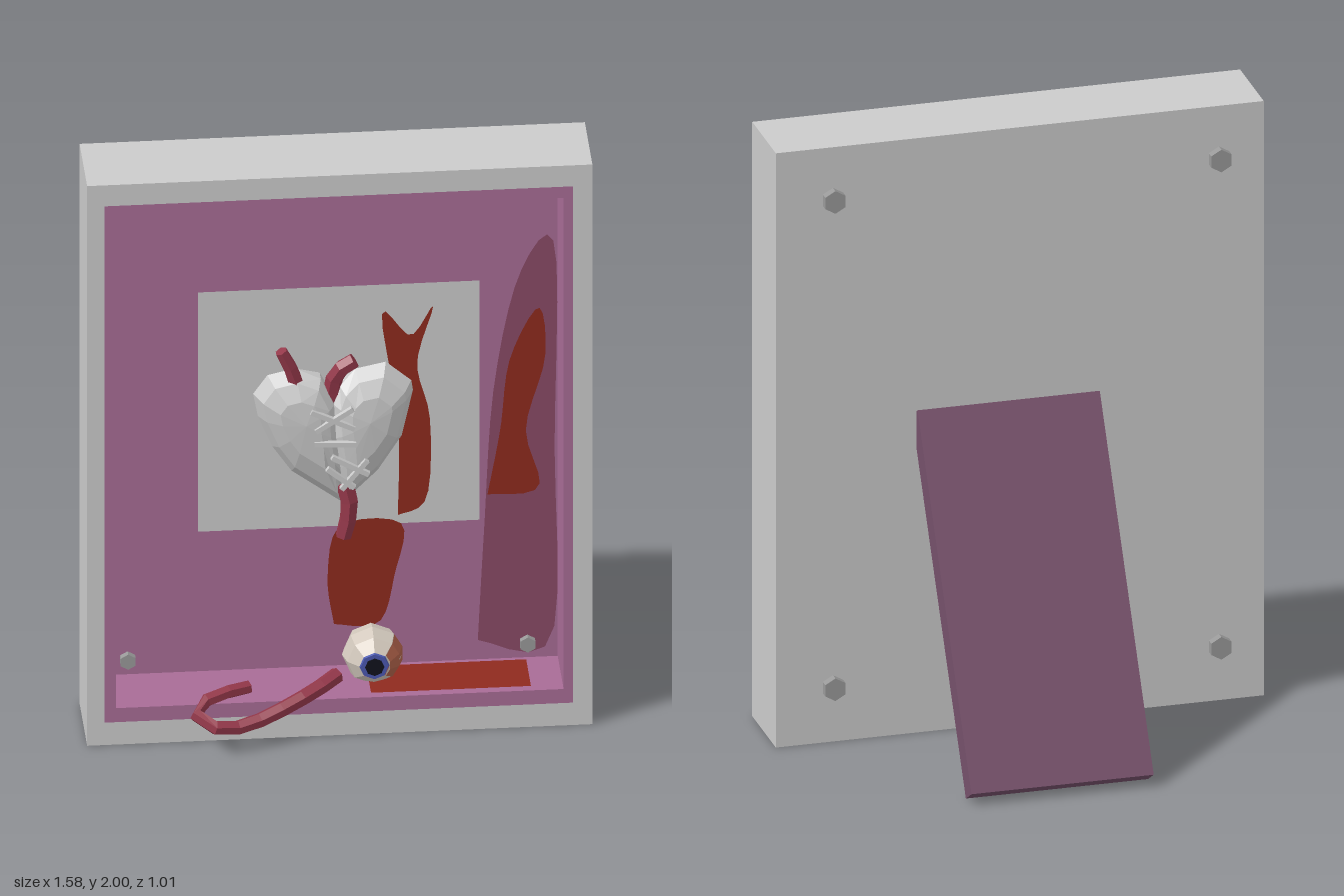
import * as THREE from 'three';

const mat = (color, side = THREE.FrontSide) => new THREE.MeshStandardMaterial({ color, flatShading: true, side });
const GREY = mat(0xcccccc), PURPLE = mat(0xa86c96), STAND = mat(0x75506a), FLESH = mat(0x94384a);
const METAL = mat(0x999999), BLOOD = mat(0x8f2a1e, THREE.DoubleSide), STAIN = mat(0x8a4a66, THREE.DoubleSide);
const v = (x, y, z) => new THREE.Vector3(x, y, z);

// Joins equal-sized loops of points (counter-clockwise seen from +z) into a faceted skin
function loft(loops) {
  const n = loops[0].length, pos = [];
  for (let k = 0; k < loops.length - 1; k++) {
    for (let i = 0; i < n; i++) {
      const j = (i + 1) % n;
      const [a, b, c, d] = [loops[k][i], loops[k][j], loops[k + 1][j], loops[k + 1][i]];
      for (const t of [[a, b, c], [a, c, d]]) {
        if (t[0].equals(t[1]) || t[1].equals(t[2]) || t[0].equals(t[2])) continue;
        t.forEach(p => pos.push(p.x, p.y, p.z));
      }
    }
  }
  const g = new THREE.BufferGeometry();
  g.setAttribute('position', new THREE.Float32BufferAttribute(pos, 3));
  g.computeVertexNormals();
  return g;
}

const rect = (x0, x1, y0, y1, z) => [v(x0, y0, z), v(x1, y0, z), v(x1, y1, z), v(x0, y1, z)];

// Faceted tube along a bent path, radius tapering from r0 to r1, closed at both ends
function vessel(points, r0, r1, steps, sides = 6) {
  const curve = new THREE.CatmullRomCurve3(points.map(p => v(...p)));
  const frames = curve.computeFrenetFrames(steps);
  const loops = [];
  for (let i = 0; i <= steps; i++) {
    const c = curve.getPointAt(i / steps), r = r0 + (r1 - r0) * i / steps;
    const ring = Array.from({ length: sides }, (_, s) => {
      const a = s / sides * Math.PI * 2;
      return c.clone().addScaledVector(frames.normals[i], Math.cos(a) * r)
        .addScaledVector(frames.binormals[i], Math.sin(a) * r);
    });
    if (i === 0) loops.push(ring.map(() => c.clone()));
    loops.push(ring);
    if (i === steps) loops.push(ring.map(() => c.clone()));
  }
  return loft(loops);
}

// One half of the heart: outline points are [x, y, half thickness at the rim]
function heartLobe(outline, cx, cy, depth) {
  const ring = (s, t, side) => outline.map(([x, y, h]) =>
    v(cx + (x - cx) * s, cy + (y - cy) * s, side * (h + (depth - h) * t)));
  return loft([ring(0, 1, -1), ring(0.5, 0.9, -1), ring(0.82, 0.55, -1), ring(1, 0, -1),
    ring(1, 0, 1), ring(0.82, 0.55, 1), ring(0.5, 0.9, 1), ring(0, 1, 1)]);
}

export function createModel() {
  const model = new THREE.Group();
  const add = (name, geo, material, parent = model) => {
    const m = new THREE.Mesh(geo, material);
    m.name = name;
    parent.add(m);
    return m;
  };
  const WALL = 0.178;

  // Box frame with its recessed, painted interior
  const back = rect(-0.79, 0.79, 0, 2, 0.12), lip = rect(-0.735, 0.73, 0.08, 1.925, 0.39);
  add('frame', loft([back.map(() => v(0, 1, 0.12)), back, rect(-0.79, 0.79, 0, 2, 0.39), lip]), GREY);
  const inner = rect(-0.7, 0.7, 0.13, 1.885, WALL);
  add('recess', loft([lip, rect(-0.7, 0.7, 0.13, 1.885, 0.39), inner, inner.map(() => v(0, 1, WALL))]), PURPLE);

  // Sheet of paper on the back wall
  add('paper', new THREE.PlaneGeometry(0.88, 0.855), GREY).position.set(0.015, 1.057, WALL + 0.002);

  // Blood runs on the wall, the paper and the floor
  const stains = new THREE.Group();
  stains.name = 'bloodStains';
  model.add(stains);
  const run = (pts, material, z) => {
    const s = new THREE.Shape();
    s.moveTo(...pts[0]);
    s.splineThru([...pts.slice(1), pts[0]].map(p => new THREE.Vector2(...p)));
    add('bloodRun', new THREE.ShapeGeometry(s, 4), material, stains).position.z = WALL + z;
  };
  run([[0.0, 0.28], [0.14, 0.28], [0.19, 0.45], [0.21, 0.63], [0.02, 0.63], [-0.02, 0.45]], BLOOD, 0.004);
  run([[0.2, 0.66], [0.29, 0.72], [0.3, 1.0], [0.26, 1.2], [0.31, 1.4], [0.24, 1.3], [0.15, 1.38], [0.2, 1.0]], BLOOD, 0.004);
  run([[0.45, 0.2], [0.68, 0.2], [0.69, 0.9], [0.69, 1.6], [0.58, 1.5], [0.5, 1.1], [0.47, 0.6]], STAIN, 0.002);
  run([[0.48, 0.72], [0.64, 0.74], [0.6, 0.95], [0.66, 1.2], [0.64, 1.38], [0.55, 1.2], [0.52, 0.95]], BLOOD, 0.004);
  const pool = add('bloodPool', new THREE.PlaneGeometry(0.5, 0.17), BLOOD, stains);
  pool.rotation.x = -Math.PI / 2;
  pool.position.set(0.35, 0.132, 0.28);

  // Bolts through the four corners: wide head behind, narrow end inside
  for (const x of [-0.645, 0.605]) {
    for (const y of [0.185, 1.825]) {
      const bolt = new THREE.Group();
      bolt.name = 'bolt';
      bolt.position.set(x, y, 0);
      model.add(bolt);
      for (const [name, r, z0, z1] of [['boltHead', 0.038, 0.092, 0.125], ['boltEnd', 0.027, 0.17, 0.2]]) {
        const g = new THREE.CylinderGeometry(r, r, z1 - z0, 6).rotateX(Math.PI / 2);
        add(name, g, METAL, bolt).position.z = (z0 + z1) / 2;
      }
    }
  }

  // Slanted rear stand, side profile as (-z, y) extruded across x
  const profile = new THREE.Shape([[-0.106, 1.09], [-0.122, 1.08], [-0.122, 0.963], [0.445, 0], [0.51, 0.04]]
    .map(p => new THREE.Vector2(...p)));
  const stand = new THREE.ExtrudeGeometry(profile, { depth: 0.59, bevelEnabled: false });
  add('stand', stand.rotateY(Math.PI / 2).translate(-0.255, 0, 0), STAND);

  // Two-lobed heart with a stitched seam
  const heart = new THREE.Group();
  heart.name = 'heart';
  heart.position.z = 0.262;
  model.add(heart);
  add('heartLeftHalf', heartLobe([[-0.01, 1.13, 0.04], [-0.05, 1.215, 0.02], [-0.13, 1.245, 0], [-0.215, 1.225, 0],
    [-0.26, 1.16, 0], [-0.245, 1.08, 0], [-0.2, 0.97, 0], [-0.14, 0.88, 0], [0.02, 0.76, 0],
    [0.01, 0.9, 0.045], [-0.005, 1.02, 0.055]], -0.1, 1.08, 0.08), GREY, heart);
  add('heartRightHalf', heartLobe([[0.02, 0.76, 0], [0.13, 0.87, 0], [0.205, 0.99, 0], [0.24, 1.15, 0], [0.235, 1.185, 0],
    [0.155, 1.255, 0], [0.06, 1.235, 0], [0.01, 1.185, 0.02], [-0.01, 1.13, 0.04],
    [-0.005, 1.02, 0.055], [0.01, 0.9, 0.045]], 0.1, 1.08, 0.08), GREY, heart);
  for (const [x0, y0, x1, y1] of [[-0.085, 1.13, 0.05, 1.065], [-0.07, 1.06, 0.045, 1.135], [-0.075, 1.015, 0.055, 1.01],
    [-0.02, 0.965, 0.095, 0.9], [0.01, 0.85, 0.09, 0.95], [-0.035, 0.925, 0.05, 0.855]]) {
    const s = add('stitch', new THREE.BoxGeometry(Math.hypot(x1 - x0, y1 - y0), 0.016, 0.016), GREY, heart);
    s.position.set((x0 + x1) / 2, (y0 + y1) / 2, 0.078);
    s.rotation.z = Math.atan2(y1 - y0, x1 - x0);
  }

  // Blood vessels leaving the heart
  add('upperVessel', vessel([[-0.125, 1.2, 0.02], [-0.145, 1.26, 0.025], [-0.175, 1.325, 0.03]], 0.026, 0.02, 2), FLESH, heart);
  add('centreVessel', vessel([[-0.01, 1.12, 0], [-0.01, 1.2, 0.01], [0.015, 1.25, 0.02], [0.055, 1.275, 0.02]], 0.03, 0.026, 4), FLESH, heart);
  add('lowerVessel', vessel([[0.025, 0.84, 0.02], [0.04, 0.76, 0.03], [0.02, 0.655, 0.03]], 0.032, 0.026, 3), FLESH, heart);

  // Eyeball looking forward, iris on its front cap
  const eye = new THREE.Group();
  eye.name = 'eye';
  eye.position.set(0.115, 0.2, 0.235);
  model.add(eye);
  const ball = (name, r, t0, t1, material) =>
    add(name, new THREE.SphereGeometry(r, 8, t1 > 2 ? 5 : 1, 0, Math.PI * 2, t0, t1 - t0).rotateX(Math.PI / 2), material, eye);
  ball('eyeball', 0.095, 0.52, Math.PI, mat(0xd2c8bc));
  add('iris', new THREE.CylinderGeometry(0.044, 0.048, 0.012, 8).rotateX(Math.PI / 2), mat(0x4a58b0), eye).position.z = 0.082;
  add('pupil', new THREE.CylinderGeometry(0.03, 0.03, 0.006, 8).rotateX(Math.PI / 2), mat(0x10121c), eye).position.z = 0.089;
  const sore = new THREE.SphereGeometry(0.097, 2, 2, Math.PI * 1.75, Math.PI / 2, 0.55, 0.95);
  add('bloodshotPatch', sore.rotateX(Math.PI / 2).rotateZ(Math.PI), mat(0xb0624a, THREE.DoubleSide), eye);

  // Optic nerve looping out over the front lip
  add('opticNerve', vessel([[0.0, 0.165, 0.3], [-0.1, 0.145, 0.385], [-0.32, 0.085, 0.465], [-0.42, 0.105, 0.48],
    [-0.455, 0.13, 0.42], [-0.39, 0.155, 0.385], [-0.28, 0.152, 0.33]], 0.026, 0.022, 10), FLESH);

  return model;
}
